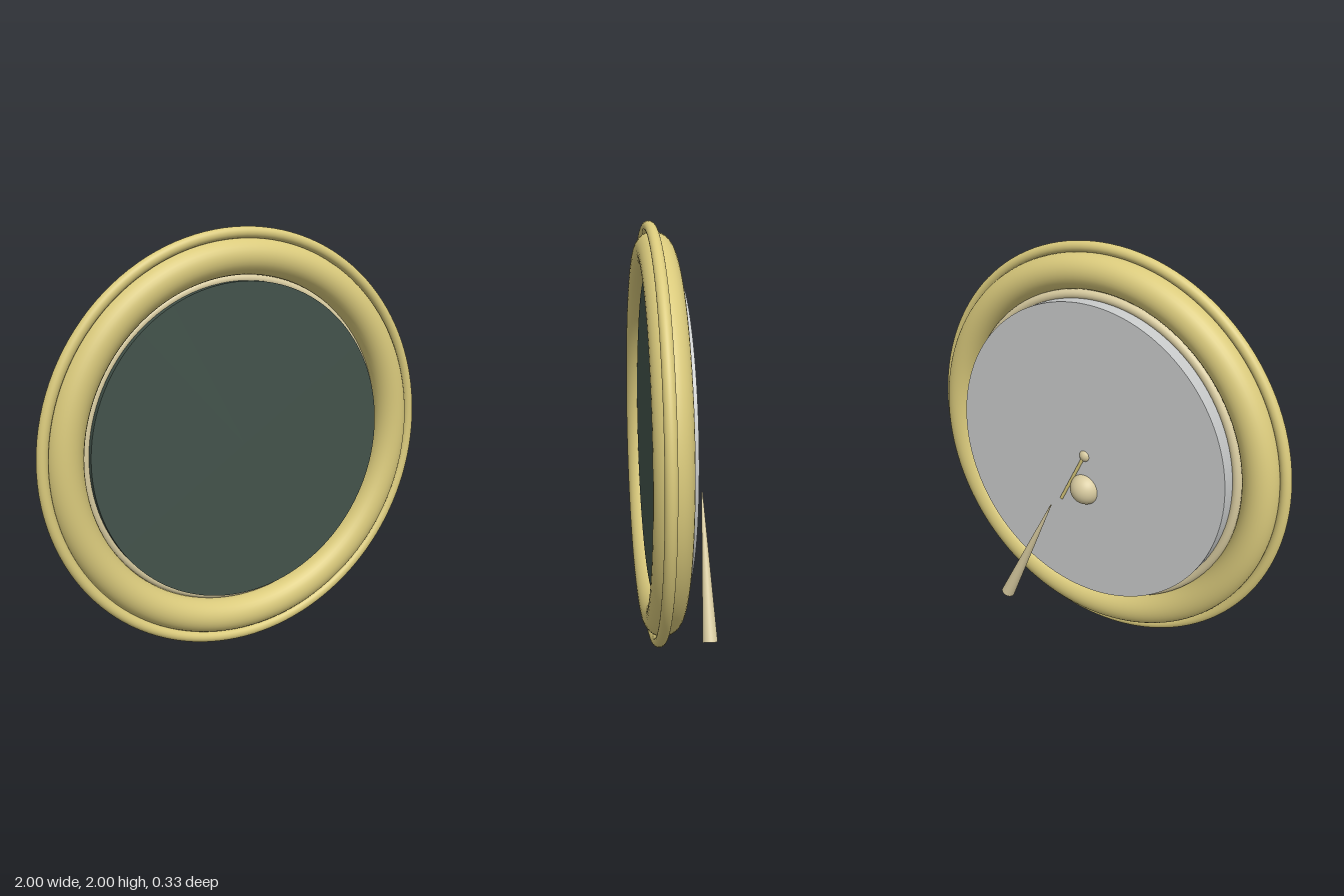
import * as THREE from 'three';

const gold = new THREE.MeshStandardMaterial({ name: 'gold', color: 0xdaca7c });
const cream = new THREE.MeshStandardMaterial({ name: 'cream', color: 0xd8cba0 });
const grey = new THREE.MeshStandardMaterial({ name: 'grey', color: 0xc8caca });
const green = new THREE.MeshStandardMaterial({ name: 'dark green', color: 0x43534b });

export function createModel() {
  const model = new THREE.Group();
  model.name = 'roundFrame';

  const add = (name, geometry, material, x, y, z) => {
    const mesh = new THREE.Mesh(geometry, material);
    mesh.name = name;
    mesh.position.set(x, y, z);
    model.add(mesh);
    return mesh;
  };
  const ring = (name, radius, tube, z, material) =>
    add(name, new THREE.TorusGeometry(radius, tube, 32, 128), material, 0, 1, z);
  // Disc facing along z, between two depths
  const disc = (name, radius, back, front, material) =>
    add(name, new THREE.CylinderGeometry(radius, radius, front - back, 128).rotateX(Math.PI / 2),
      material, 0, 1, (back + front) / 2);
  // Tapered bar from point a (radius ra) to point b (radius rb)
  const bar = (name, a, b, ra, rb, material) => {
    const dir = b.clone().sub(a);
    const mid = a.clone().add(b).multiplyScalar(0.5);
    const mesh = add(name, new THREE.CylinderGeometry(rb, ra, dir.length(), 32), material, mid.x, mid.y, mid.z);
    mesh.quaternion.setFromUnitVectors(new THREE.Vector3(0, 1, 0), dir.normalize());
  };

  // Frame rings
  ring('frame', 0.869, 0.083, 0.083, gold);
  ring('outerBead', 0.974, 0.026, 0.105, gold);
  ring('innerBead', 0.766, 0.024, 0.06, cream);

  // Front panel and backing
  disc('frontPanel', 0.76, 0.08, 0.112, green);
  disc('backing', 0.752, -0.031, 0.082, grey);

  // Knobs on the back
  add('largeKnob', new THREE.SphereGeometry(0.08, 40, 28), cream, 0, 0.82, -0.013);
  add('smallKnob', new THREE.SphereGeometry(0.034, 32, 20), cream, 0, 1, -0.012);

  // Thin rod and the tapered handle beyond it
  bar('rod', new THREE.Vector3(0, 1, -0.032), new THREE.Vector3(0.138, 0.73, -0.032), 0.008, 0.008, gold);
  bar('handle', new THREE.Vector3(0.43, 0.11, -0.133), new THREE.Vector3(0.127, 0.74, -0.133), 0.035, 0.003, cream);

  return model;
}
